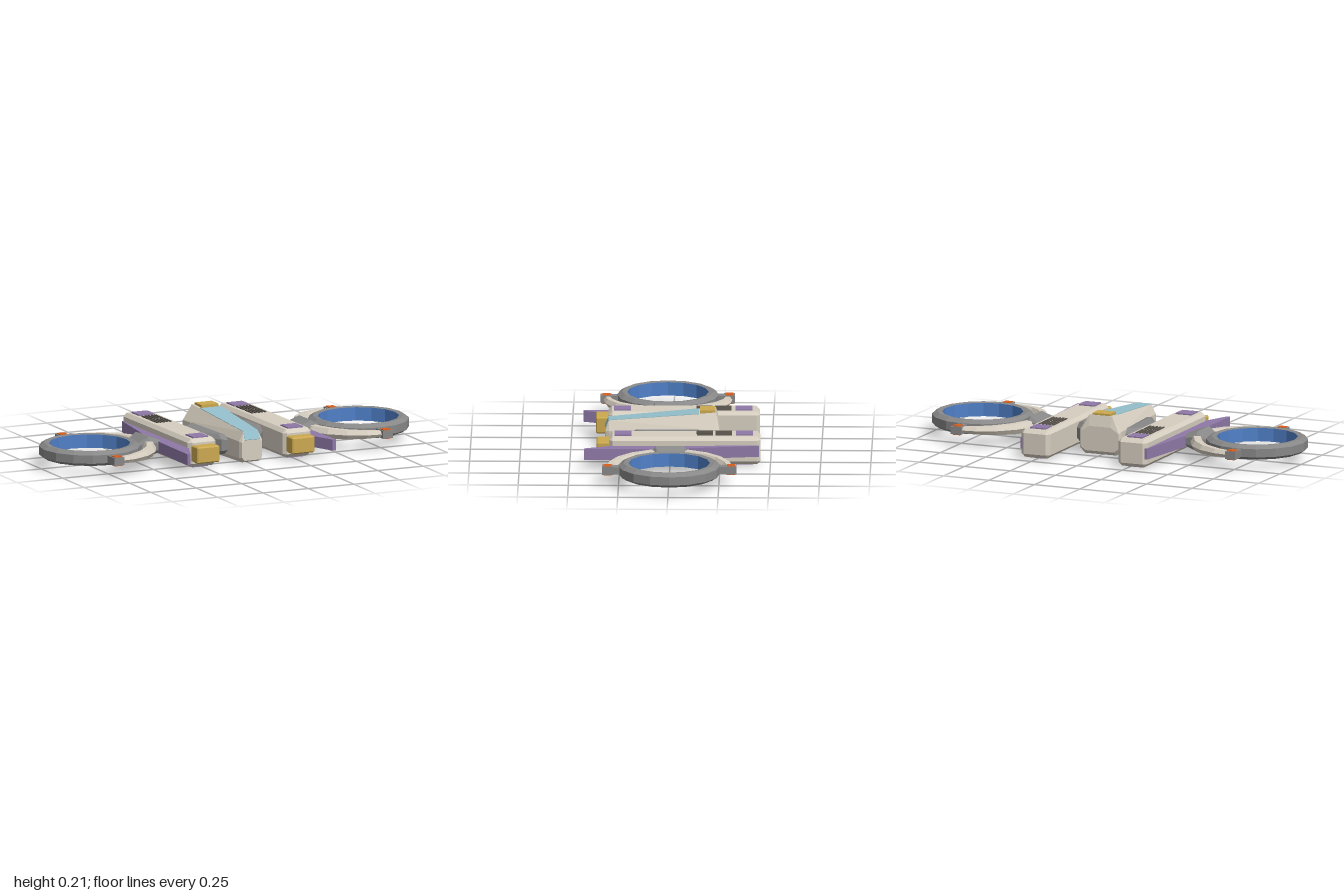
import * as THREE from 'three';
import { ConvexGeometry } from 'three/addons/geometries/ConvexGeometry.js';

const mat = (name, color) => {
  const m = new THREE.MeshStandardMaterial({ color });
  m.name = name;
  return m;
};

export function createModel() {
  const cream = mat('cream hull', 0xd6cec0), grey = mat('grey metal', 0x888888);
  const purple = mat('purple trim', 0x8f79a8), gold = mat('gold', 0xcba950);
  const cyan = mat('cyan glass', 0x94c0cc), blue = mat('blue lining', 0x5080c8);
  const orange = mat('orange lamp', 0xd85c1c), dark = mat('dark vent', 0x5c574f);

  const MID = 0.078; // shared centre height
  const model = new THREE.Group();
  model.name = 'spacecraft';
  model.rotation.y = 0.02;

  const add = (parent, name, geo, material, x = 0, y = 0, z = 0) => {
    const m = new THREE.Mesh(geo, material);
    m.name = name;
    m.position.set(x, y, z);
    parent.add(m);
    return m;
  };
  const box = (w, h, d) => new THREE.BoxGeometry(w, h, d);
  const hull = (pts) => new ConvexGeometry(pts.map((p) => new THREE.Vector3(...p)));
  const flat = (geo) => {
    const g = geo.toNonIndexed();
    g.computeVertexNormals();
    return g;
  };

  // Box with every edge cut off by c
  const chamferBox = (w, h, d, c) => {
    const pts = [];
    for (const i of [-1, 1]) for (const j of [-1, 1]) for (const k of [-1, 1]) {
      const x = w / 2, y = h / 2, z = d / 2;
      pts.push([i * x, j * (y - c), k * (z - c)], [i * (x - c), j * y, k * (z - c)],
        [i * (x - c), j * (y - c), k * z]);
    }
    return hull(pts);
  };

  // Cabin: sections along z as [z, bottom y, lower y, shoulder y, top y, half width, top half width]
  const cabin = new THREE.Group();
  cabin.name = 'cabin';
  model.add(cabin);
  const cabinPts = [];
  for (const [z, yb, y1, y2, yt, hw, tw] of [
    [0.328, 0.018, 0.035, 0.11, 0.122, 0.056, 0.042],
    [0.31, 0.008, 0.03, 0.115, 0.163, 0.064, 0.04],
    [-0.225, 0.008, 0.035, 0.13, 0.205, 0.112, 0.062],
    [-0.24, 0.025, 0.045, 0.12, 0.15, 0.104, 0.058],
  ]) {
    for (const s of [-1, 1]) {
      cabinPts.push([s * hw * 0.75, yb, z], [s * hw, y1, z], [s * hw, y2, z], [s * tw, yt, z]);
    }
  }
  add(cabin, 'cabinHull', hull(cabinPts), cream);

  // Windscreen over the sloping roof and nose
  const glass = (a, b) => {
    const pts = [];
    for (const [z, y, w] of [a, b]) {
      for (const s of [-1, 1]) pts.push([s * w, y + 0.002, z + 0.001], [s * w, y - 0.004, z - 0.002]);
    }
    return hull(pts);
  };
  add(cabin, 'windscreen', glass([-0.14, 0.199, 0.058], [0.31, 0.163, 0.04]), cyan);
  add(cabin, 'noseGlass', glass([0.31, 0.163, 0.04], [0.328, 0.122, 0.042]), cyan);
  add(cabin, 'roofHatch', box(0.095, 0.022, 0.076), gold, 0, 0.203, -0.183);

  const buildSide = (s, label) => {
    const side = new THREE.Group();
    side.name = label + 'Side';
    model.add(side);

    // Bridge from cabin to pod, narrowing outwards
    const bridge = [];
    for (const [x, z0, z1, h] of [[0.05, -0.19, 0.21, 0.042], [0.105, -0.165, 0.195, 0.054],
      [0.165, -0.11, 0.09, 0.054], [0.195, -0.09, 0.06, 0.045]]) {
      for (const j of [-1, 1]) {
        bridge.push([s * x, MID + j * h, z0 + 0.03], [s * x, MID + j * h, z1 - 0.03],
          [s * x, MID + j * h * 0.55, z0], [s * x, MID + j * h * 0.55, z1]);
      }
    }
    add(side, 'bridge', hull(bridge), grey);

    // Pod with gold nose block, trim panels and vents above and below
    const px = s * 0.264;
    add(side, 'pod', chamferBox(0.156, 0.142, 0.755, 0.018), cream, px, MID, -0.0675);
    add(side, 'podNose', chamferBox(0.125, 0.084, 0.09, 0.006), gold, px, MID, 0.328);
    for (const j of [-1, 1]) {
      const y = MID + j * 0.0725;
      for (const z of [-0.365, 0.24]) add(side, 'podPanel', box(0.085, 0.009, 0.084), purple, px, y, z);
      for (const z of [-0.262, -0.168]) {
        for (let i = -2; i <= 2; i++) {
          add(side, 'ventSlit', box(0.008, 0.008, 0.082), dark, px + i * 0.018, y, z);
        }
      }
    }

    // Swept fin along the pod's outer wall
    const fin = new THREE.Shape([[0.33, -0.437], [0.345, -0.437], [0.402, -0.03], [0.413, 0.435],
      [0.395, 0.435], [0.342, 0.305], [0.33, 0.29]].map(([x, z]) => new THREE.Vector2(s * x, -z)));
    const finGeo = new THREE.ExtrudeGeometry(fin, { depth: 0.056, bevelEnabled: false });
    finGeo.rotateX(-Math.PI / 2);
    add(side, 'fin', finGeo, purple, 0, MID - 0.028, 0);

    // Faceted hub between fin and ring
    const hub = [];
    for (const [x, z, h] of [[0.385, 0.085, 0.028], [0.455, 0.09, 0.052], [0.505, 0.07, 0.022]]) {
      for (const j of [-1, 1]) for (const k of [-1, 1]) {
        hub.push([s * x, MID + j * h, k * z * 0.78], [s * x, MID + j * h * 0.5, k * z]);
      }
    }
    add(side, 'hub', hull(hub), grey, 0, 0.002, 0.008);

    // Ring engine
    const engine = new THREE.Group();
    engine.name = label + 'RingEngine';
    engine.position.set(s * 0.747, 0.083, 0.012);
    side.add(engine);
    const lathe = (pts) => flat(new THREE.LatheGeometry(pts.map((p) => new THREE.Vector2(...p)), 16));
    add(engine, 'ring', lathe([[0.203, -0.034], [0.228, -0.037], [0.254, -0.021], [0.254, 0.021],
      [0.228, 0.037], [0.203, 0.034]]), grey);
    add(engine, 'ringLining', lathe([[0.203, 0.034], [0.203, -0.034]]), blue);

    // Curved arm hugging the inboard half of the ring, thinner towards its ends
    const R = 0.302, T = 0.01;
    const arm = new THREE.TorusGeometry(R, T, 6, 10, Math.PI);
    arm.rotateZ(s > 0 ? Math.PI / 2 : -Math.PI / 2);
    const p = arm.attributes.position;
    for (let i = 0; i < p.count; i++) {
      const x = p.getX(i), y = p.getY(i), r = Math.hypot(x, y);
      const k = Math.abs(x) / r;
      const r2 = R + ((r - R) / T) * (0.022 + 0.011 * k);
      p.setXYZ(i, (x / r) * r2, (y / r) * r2, (p.getZ(i) / T) * (0.017 + 0.016 * k));
    }
    arm.rotateX(-Math.PI / 2);
    add(engine, 'arm', flat(arm), cream);

    // Clamps with lamps at both arm ends
    for (const k of [-1, 1]) {
      add(engine, 'clampStub', box(0.05, 0.036, 0.05), grey, 0, 0, k * 0.262);
      add(engine, 'clamp', box(0.056, 0.04, 0.056), grey, 0, 0, k * 0.307);
      for (const j of [-1, 1]) {
        add(engine, 'clampLamp', box(0.04, 0.006, 0.04), orange, 0, j * 0.021, k * 0.307);
      }
    }
  };
  buildSide(1, 'left');
  buildSide(-1, 'right');

  const root = new THREE.Group();
  root.name = 'model';
  root.add(model);
  return root;
}
